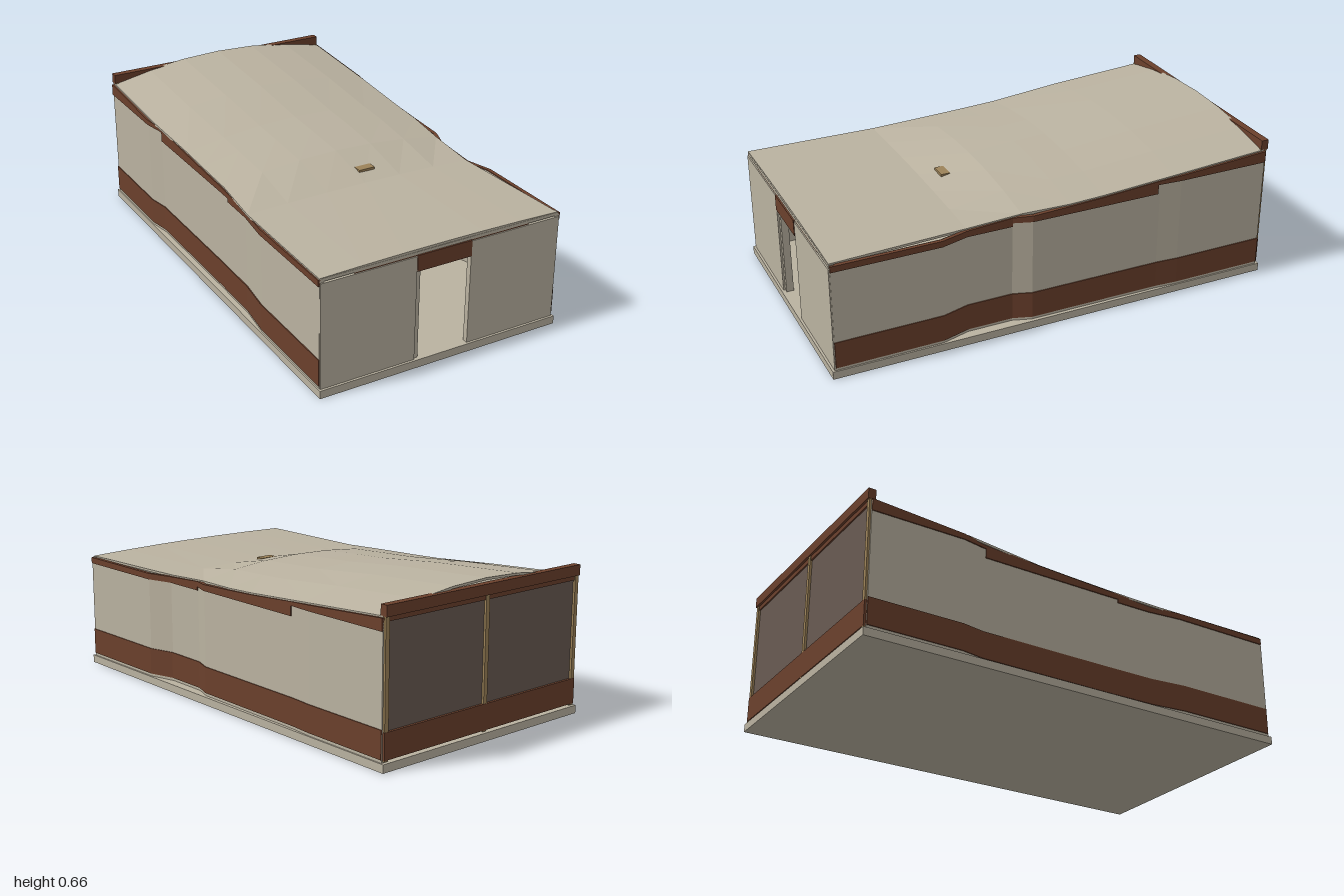
import * as THREE from 'three';

const mat = (name, color, extra = {}) => {
  const m = new THREE.MeshStandardMaterial({ color, ...extra });
  m.name = name;
  return m;
};

// Piecewise linear lookup in rows [z, a, b, ...] sorted from front to back
function sample(rows, z, col) {
  if (z >= rows[0][0]) return rows[0][col];
  for (let i = 1; i < rows.length; i++) {
    const p = rows[i - 1], q = rows[i];
    if (z >= q[0]) return p[col] + (q[col] - p[col]) * (p[0] - z) / (p[0] - q[0]);
  }
  return rows[rows.length - 1][col];
}

// Solid through closed sections (counter-clockwise from +z), front to back
function loft(sections) {
  const pos = [], m = sections[0].length;
  const tri = (a, b, c) => pos.push(...a, ...b, ...c);
  for (let i = 0; i < sections.length - 1; i++) {
    const s = sections[i], t = sections[i + 1];
    for (let j = 0; j < m; j++) {
      const k = (j + 1) % m;
      tri(s[j], t[j], s[k]);
      tri(s[k], t[j], t[k]);
    }
  }
  const f = sections[0], b = sections[sections.length - 1];
  for (let k = 0; k < m / 2 - 1; k++) {
    const q = [k, k + 1, m - 2 - k, m - 1 - k];
    tri(f[q[0]], f[q[1]], f[q[2]]); tri(f[q[0]], f[q[2]], f[q[3]]);
    tri(b[q[0]], b[q[2]], b[q[1]]); tri(b[q[0]], b[q[3]], b[q[2]]);
  }
  const g = new THREE.BufferGeometry();
  g.setAttribute('position', new THREE.Float32BufferAttribute(pos, 3));
  g.computeVertexNormals();
  return g;
}

// Roof rows: z, edge height, crown height, left half width, right half width
const ROOF = [
  [0.985, 0.515, 0.524, 0.54, 0.55], [0.4, 0.515, 0.526, 0.508, 0.545],
  [0.16, 0.53, 0.578, 0.515, 0.53], [-0.05, 0.538, 0.592, 0.537, 0.53],
  [-0.2, 0.545, 0.6, 0.54, 0.53], [-0.53, 0.568, 0.632, 0.545, 0.545],
  [-0.98, 0.597, 0.66, 0.545, 0.545],
];
// Outer wall lines: z, distance from the middle
const LEFT = [[0.985, 0.55], [0.52, 0.548], [0.4, 0.514], [0.2, 0.514], [0.12, 0.54],
  [-0.47, 0.543], [-0.57, 0.55], [-0.985, 0.55]];
const RIGHT = [[0.985, 0.55], [0.52, 0.55], [0.36, 0.532], [0.12, 0.53],
  [-0.47, 0.532], [-0.57, 0.55], [-0.985, 0.55]];
const eave = z => sample(ROOF, z, 1) - 0.006;

export function createModel() {
  const group = new THREE.Group();
  const plaster = mat('plaster', 0xbab2a0);
  const brown = mat('brown wood', 0x6b402c);
  const tan = mat('tan wood', 0x9c8258);
  const glass = mat('dark glass', 0x685a52);

  const add = (name, geo, m) => {
    const mesh = new THREE.Mesh(geo, m);
    mesh.name = name;
    group.add(mesh);
    return mesh;
  };
  // Box from its minimum and maximum corners
  const box = (name, m, x0, x1, y0, y1, z0, z1) => {
    const mesh = add(name, new THREE.BoxGeometry(x1 - x0, y1 - y0, z1 - z0), m);
    mesh.position.set((x0 + x1) / 2, (y0 + y1) / 2, (z0 + z1) / 2);
    return mesh;
  };

  box('floorSlab', plaster, -0.556, 0.556, 0, 0.035, -1, 1);

  // Bent side walls with a base band and a stepped eave band
  function strip(name, m, rows, side, zFront, zBack, inner, outer, low, high) {
    const zs = [...rows, ...ROOF].map(r => r[0]).filter(z => z < zFront - 0.001 && z > zBack + 0.001);
    const stations = [...new Set([zFront, ...zs, zBack])].sort((a, b) => b - a);
    add(name, loft(stations.map(z => {
      const w = sample(rows, z, 1);
      const xs = [side * (w + inner), side * (w + outer)].sort((a, b) => a - b);
      const top = high(z);
      return [[xs[0], low, z], [xs[1], low, z], [xs[1], top, z], [xs[0], top, z]];
    })), m);
  }
  for (const [label, rows, side] of [['left', LEFT, 1], ['right', RIGHT, -1]]) {
    strip(label + 'Wall', plaster, rows, side, 0.985, -0.985, -0.02, 0, 0.035, z => eave(z) - 0.004);
    strip(label + 'BaseBand', brown, rows, side, 0.985, -0.985, -0.002, 0.004, 0.048, () => 0.165);
    for (const [z0, z1, low] of [[0.985, 0.2, 0.482], [0.2, -0.46, 0.498], [-0.46, -0.985, 0.54]])
      strip(label + 'EaveBand', brown, rows, side, z0, z1, -0.012, 0.005, low, eave);
  }

  // Front wall with a doorway
  box('frontWallRight', plaster, -0.548, -0.125, 0.035, 0.495, 0.965, 0.99);
  box('frontWallLeft', plaster, 0.125, 0.548, 0.035, 0.495, 0.965, 0.99);
  box('doorLeaf', plaster, -0.125, -0.105, 0.035, 0.43, 0.95, 0.982);
  box('doorHeader', brown, -0.125, 0.125, 0.43, 0.5, 0.96, 0.993);
  box('frontTopRail', brown, -0.4, 0.4, 0.495, 0.503, 0.965, 0.985);
  box('frontTopPlate', plaster, -0.545, 0.545, 0.5, 0.513, 0.965, 0.986);

  // Crowned roof sheet
  const n = 7;
  add('roof', loft(ROOF.map(([z, edge, crown, wl, wr]) => {
    const bottom = [], top = [];
    for (let i = 0; i < n; i++) {
      const u = i / (n - 1) * 2 - 1;
      const x = u * (u < 0 ? wr : wl);
      const y = edge + (crown - edge) * (1 - u * u);
      bottom.push([x, y - 0.01, z]);
      top.unshift([x, y, z]);
    }
    return [...bottom, ...top];
  })), plaster);
  box('roofVent', tan, 0.015, 0.09, 0.53, 0.55, 0.29, 0.33);

  // Glazed back wall
  box('backBase', brown, -0.545, 0.545, 0.045, 0.155, -0.995, -0.97);
  box('backWindow', glass, -0.54, 0.54, 0.15, 0.6, -0.984, -0.976);
  box('backBeam', brown, -0.545, 0.545, 0.595, 0.64, -1, -0.967);
  box('windowHead', brown, -0.54, 0.54, 0.575, 0.597, -0.99, -0.97);
  for (const x of [-0.534, 0, 0.534])
    box('mullion', tan, x - 0.01, x + 0.01, 0.04, 0.6, -0.994, -0.965);

  // Bench below the window
  box('bench', brown, -0.525, 0.525, 0.035, 0.18, -0.965, -0.88);
  box('benchTop', brown, -0.525, 0.525, 0.18, 0.19, -0.968, -0.87);
  box('benchRail', brown, -0.525, 0.525, 0.075, 0.085, -0.88, -0.872);

  // Trestle table
  box('tableTop', brown, -0.105, 0.047, 0.13, 0.139, -0.3, 0);
  for (const x of [-0.07, 0.02]) {
    for (const z of [-0.25, -0.05]) {
      const leg = box('tableLeg', brown, x - 0.006, x + 0.006, 0.036, 0.132, z - 0.008, z + 0.008);
      leg.rotation.z = x < -0.02 ? -0.06 : 0.06;
    }
    box('tableSideRail', brown, x - 0.004, x + 0.004, 0.065, 0.073, -0.25, -0.05);
  }
  box('tableStretcher', brown, -0.07, 0.02, 0.065, 0.073, -0.154, -0.146);

  return group;
}
